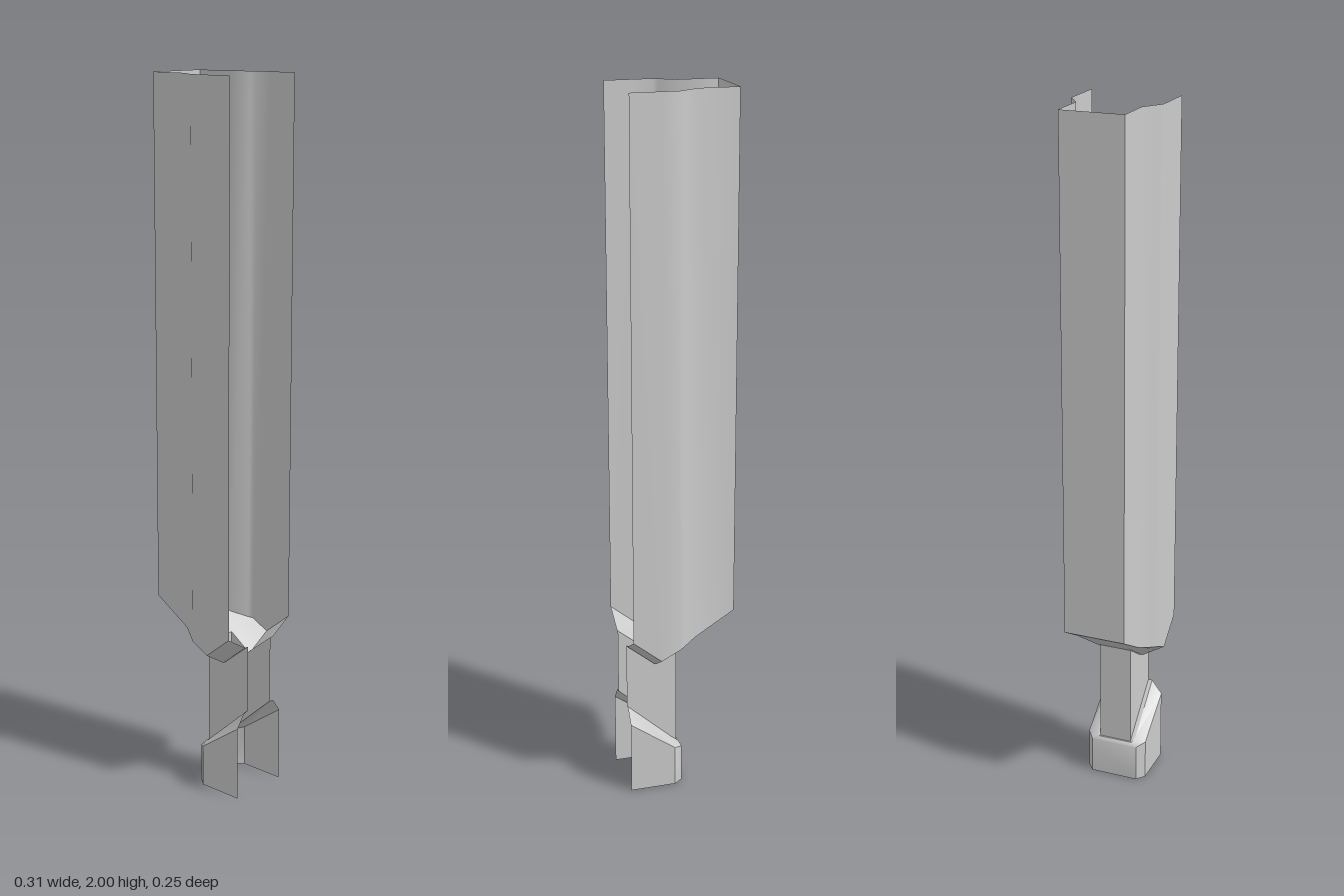
import * as THREE from 'three';
import { toCreasedNormals } from 'three/addons/utils/BufferGeometryUtils.js';

const material = new THREE.MeshStandardMaterial({ color: 0xcccccc, side: THREE.DoubleSide });

// Thin surface through a list of cross-sections, each a list of [x, y, z]
function sheet(name, sections) {
  const n = sections[0].length;
  const index = [];
  for (let i = 0; i < sections.length - 1; i++) {
    for (let j = 0; j < n - 1; j++) {
      const a = i * n + j, b = a + n;
      index.push(a, b, a + 1, b, b + 1, a + 1);
    }
  }
  const geometry = new THREE.BufferGeometry();
  geometry.setAttribute('position', new THREE.Float32BufferAttribute(sections.flat(2), 3));
  geometry.setIndex(index);
  const mesh = new THREE.Mesh(toCreasedNormals(geometry, 0.65), material);
  mesh.name = name;
  return mesh;
}

// Continue sections from the +z side round the back to the -z side
const mirrorZ = (sections) => sections.map((s) => s.map(([x, y, z]) => [x, y, -z])).reverse();
const wrap = (sections) => [...sections, ...mirrorZ(sections)];

const OPEN = 0.152, BACK = -0.153, NECK = 0.005, SLOT = 0.048, CREST = 0.06, LOW = 0.07;
const { clamp, mapLinear } = THREE.MathUtils;

// Height of the body's floor: falls to LOW, rises to the open side, lifts at the flared walls
function floorY(x, z) {
  const base = x < LOW ? mapLinear(x, BACK, LOW, 0.535, 0.38) : mapLinear(x, LOW, OPEN, 0.38, 0.447);
  const lift = clamp(mapLinear(x, BACK, LOW, 0, 1), 0, 1);
  return base + 0.62 * lift * Math.max(0, z - CREST);
}

// Height of the slanted line where the neck meets the foot
const footY = (x) => mapLinear(Math.max(x, NECK), NECK, OPEN, 0.12, 0.253);

export function createModel() {
  const model = new THREE.Group();
  model.name = 'openChannelPost';

  // Half plan of the body wall, from the open side to the back
  const plan = [[OPEN, 0.127], [LOW, 0.127], [0.017, 0.127], [NECK, 0.119], [-0.04, 0.09], [BACK, 0.09]];
  model.add(sheet('bodyWall', wrap(plan.map(([x, z]) => [[x, 2, z], [x, floorY(x, z), z]]))));

  // Sloping floor on both sides of the slot
  const half = plan.map(([x, z]) => [z, CREST, SLOT].map((w) => [x, floorY(x, w), w]));
  model.add(sheet('leftFloor', half), sheet('rightFloor', mirrorZ(half)));

  // Floor behind the slot
  model.add(sheet('backFloor', [NECK, -0.04, BACK].map((x) =>
    [SLOT, -SLOT].map((z) => [x, floorY(x, 0), z]))));

  // Narrow U-shaped neck
  model.add(sheet('neck', wrap([OPEN, LOW, NECK].map((x) =>
    [[x, floorY(x, 0), SLOT], [x, footY(x), SLOT]]))));

  // Foot: shoulder out from the neck, then straight walls with clipped back corners
  const footPlan = [
    [OPEN, SLOT, OPEN, CREST, OPEN, 0.09],
    [0.02, SLOT, 0.02, CREST, 0.02, 0.09],
    [NECK, SLOT, 0, 0.053, -0.005, 0.07],
  ];
  model.add(sheet('foot', wrap(footPlan.map(([xi, zi, xc, zc, xo, zo]) => [
    [xi, footY(xi), zi],
    [xc, footY(xc), zc],
    [xo, footY(xo) - mapLinear(xo, -0.005, OPEN, 0.01, 0.04), zo],
    [xo, 0, zo],
  ]))));

  return model;
}
